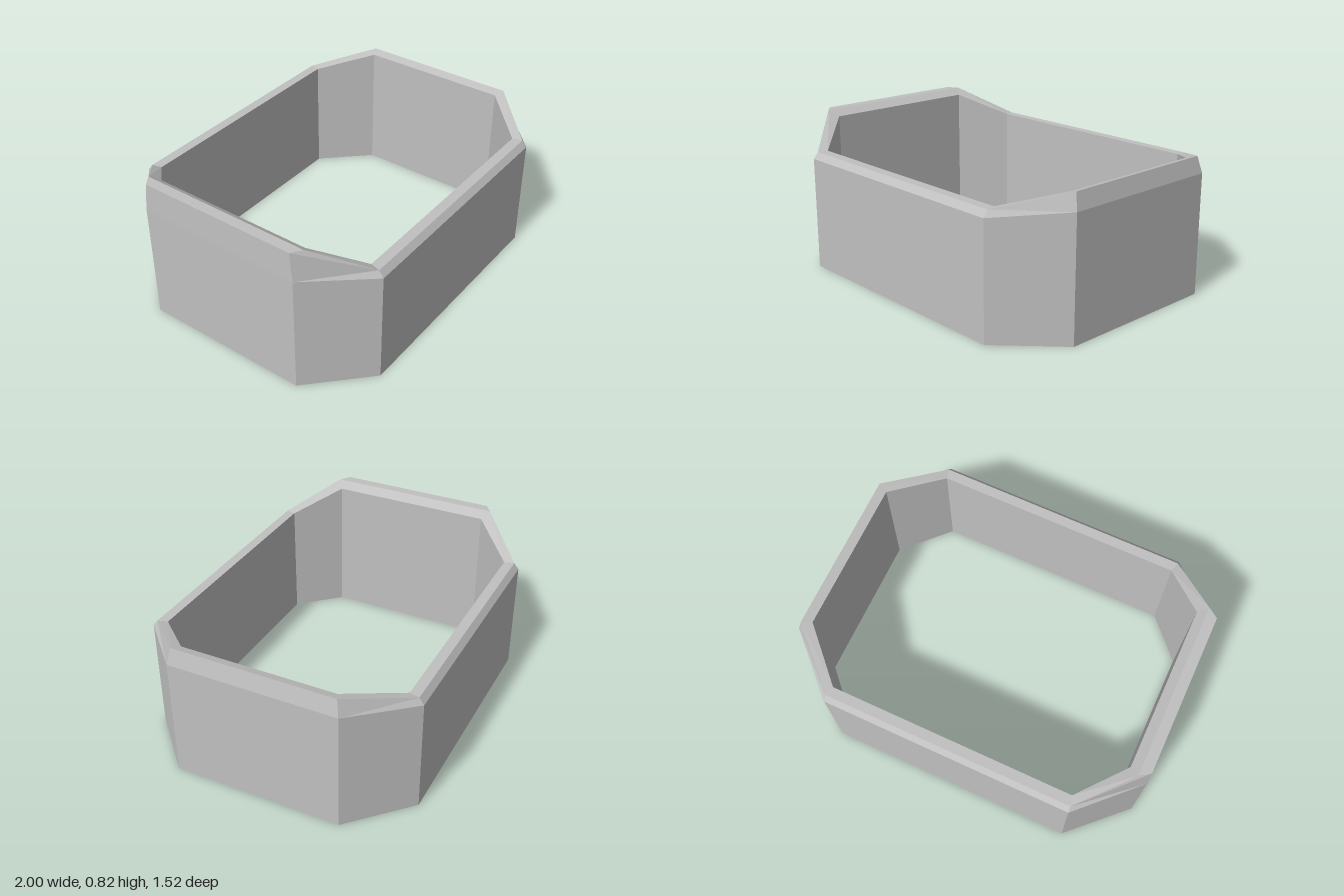
import * as THREE from 'three';

// Each profile runs: outer bottom, chamfer line, outer rim, crest, inner rim, inner bottom
const highCorner = [[-1, 0, 0.467], [-1, 0.665, 0.467], [-0.997, 0.825, 0.45], [-0.94, 0.825, 0.49], [-0.89, 0.79, 0.455], [-0.89, 0, 0.455]];
const lowCorner = [[1, 0, 0.467], [1, 0.665, 0.467], [0.977, 0.755, 0.45], [0.977, 0.755, 0.45], [0.925, 0.74, 0.425], [0.925, 0, 0.425]];
const longSideEnd = [[0.697, 0, 0.762], [0.697, 0.63, 0.762], [0.695, 0.665, 0.735], [0.695, 0.665, 0.735], [0.68, 0.665, 0.68], [0.68, 0, 0.68]];

const mirror = (profile, sx, sz) => profile.map(([x, y, z]) => new THREE.Vector3(x * sx, y, z * sz));

// Joins neighbouring corner profiles into a closed ring
function ringGeometry(corners) {
  const positions = [];
  const addTriangle = (a, b, c) => {
    if (a.equals(b) || b.equals(c) || c.equals(a)) return;
    for (const p of [a, b, c]) positions.push(p.x, p.y, p.z);
  };
  corners.forEach((corner, i) => {
    const next = corners[(i + 1) % corners.length];
    const startsAtEndWall = Math.abs(corner[0].x) > 0.9;
    for (let k = 0; k < corner.length; k++) {
      const k2 = (k + 1) % corner.length;
      const [c0, c1, n0, n1] = [corner[k], corner[k2], next[k], next[k2]];
      // Creases always rise from the end wall towards the long side
      if (startsAtEndWall) {
        addTriangle(n0, c0, n1);
        addTriangle(c0, c1, n1);
      } else {
        addTriangle(n0, c0, c1);
        addTriangle(n0, c1, n1);
      }
    }
  });
  const geometry = new THREE.BufferGeometry();
  geometry.setAttribute('position', new THREE.Float32BufferAttribute(positions, 3));
  geometry.computeVertexNormals();
  return geometry;
}

export function createModel() {
  const group = new THREE.Group();
  group.name = 'octagonalBand';
  const grey = new THREE.MeshStandardMaterial({ color: 0xc0c0c0 });
  grey.name = 'plain grey';

  // Eight-sided wall with one end raised higher than the other
  const wall = new THREE.Mesh(ringGeometry([
    mirror(lowCorner, 1, 1), mirror(longSideEnd, 1, 1),
    mirror(longSideEnd, -1, 1), mirror(highCorner, 1, 1),
    mirror(highCorner, 1, -1), mirror(longSideEnd, -1, -1),
    mirror(longSideEnd, 1, -1), mirror(lowCorner, 1, -1),
  ]), grey);
  wall.name = 'wall';
  group.add(wall);
  return group;
}
